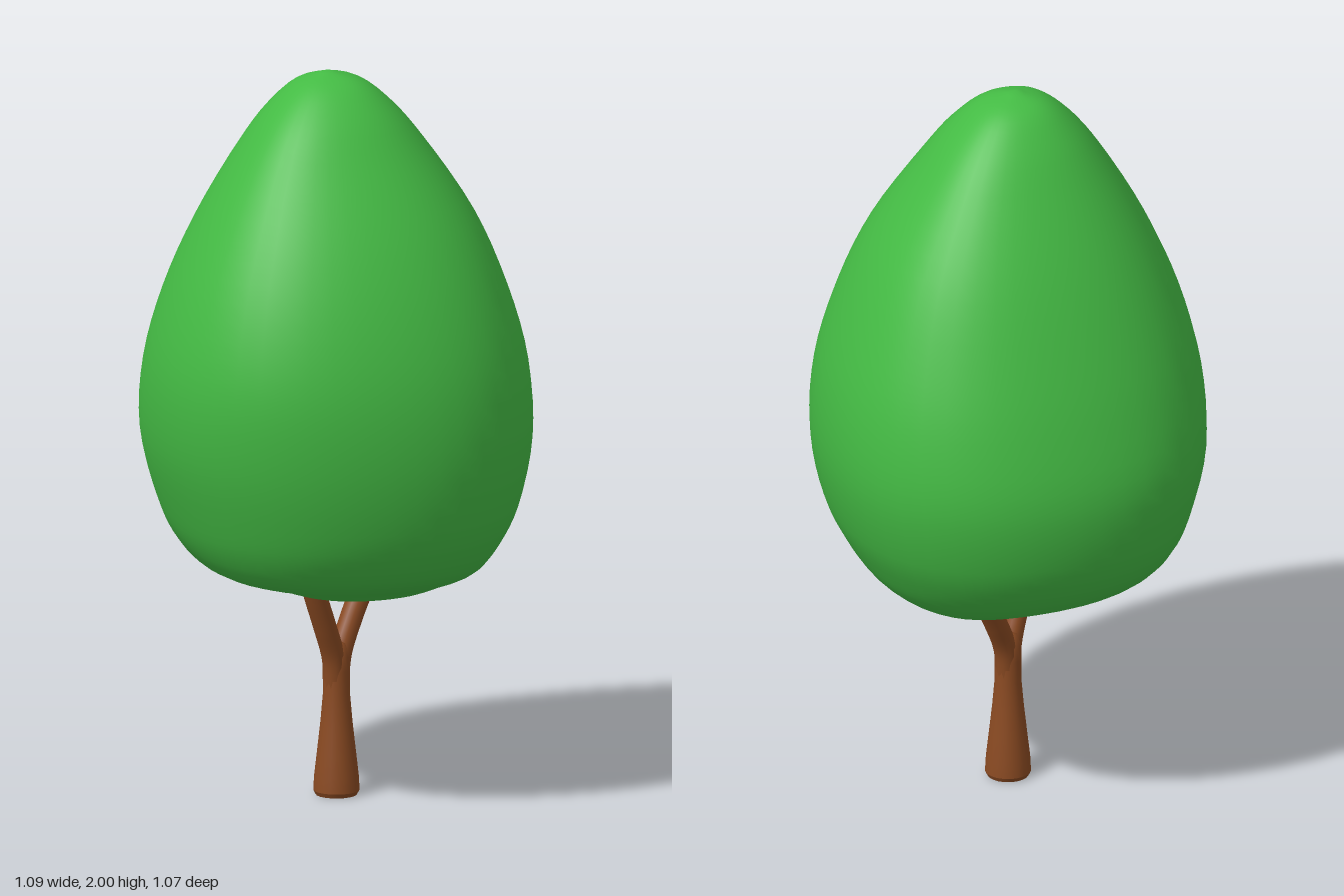
import * as THREE from 'three';
import { mergeVertices } from 'three/addons/utils/BufferGeometryUtils.js';

// Crown cross-sections, bottom to top: [y, xMin, xMax, zMin, zMax]
const RINGS = [
  [0.543, 0.04, 0.04, 0, 0],
  [0.56, -0.1, 0.24, -0.17, 0.17],
  [0.6, -0.22, 0.335, -0.285, 0.28],
  [0.65, -0.37, 0.4, -0.395, 0.4],
  [0.72, -0.43, 0.45, -0.465, 0.46],
  [0.82, -0.475, 0.5, -0.51, 0.505],
  [1.0, -0.53, 0.542, -0.535, 0.537],
  [1.2, -0.545, 0.53, -0.495, 0.528],
  [1.4, -0.505, 0.472, -0.425, 0.475],
  [1.6, -0.42, 0.382, -0.335, 0.385],
  [1.8, -0.295, 0.243, -0.222, 0.255],
  [1.9, -0.213, 0.155, -0.155, 0.18],
  [1.97, -0.125, 0.065, -0.085, 0.1],
  [2.0, -0.035, -0.035, 0.005, 0.005],
];

function crownGeometry(sides = 48, steps = 52) {
  const positions = [];
  const index = [];
  for (let i = 0; i < sides; i++) {
    const a = (i / sides) * Math.PI * 2;
    // Four soft lobes and one flatter side make the outline slightly irregular
    const flat = Math.max(0, Math.cos(a - Math.PI / 4)) ** 4;
    const lobe = 1 + 0.025 * Math.cos(4 * (a - 1.187)) - 0.025 * flat;
    const column = RINGS.map(([y, x0, x1, z0, z1]) => new THREE.Vector3(
      (x0 + x1) / 2 + ((x1 - x0) / 2) * lobe * Math.cos(a),
      y,
      (z0 + z1) / 2 + ((z1 - z0) / 2) * lobe * Math.sin(a),
    ));
    for (const p of new THREE.CatmullRomCurve3(column).getPoints(steps)) positions.push(p.x, p.y, p.z);
    const here = i * (steps + 1);
    const next = ((i + 1) % sides) * (steps + 1);
    for (let j = 0; j < steps; j++) {
      if (j < steps - 1) index.push(here + j, here + j + 1, next + j + 1);
      if (j > 0) index.push(here + j, next + j + 1, next + j);
      if (j === steps - 1) index.push(here + j, here + j + 1, next + j);
    }
  }
  let geometry = new THREE.BufferGeometry();
  geometry.setAttribute('position', new THREE.Float32BufferAttribute(positions, 3));
  geometry.setIndex(index);
  geometry = mergeVertices(geometry, 1e-5);
  geometry.computeVertexNormals();
  return geometry;
}

export function createModel() {
  const tree = new THREE.Group();
  tree.name = 'tree';
  const leafGreen = new THREE.MeshStandardMaterial({ color: 0x44bb44 });
  leafGreen.name = 'leaf green';
  const barkBrown = new THREE.MeshStandardMaterial({ color: 0x8a4a22 });
  barkBrown.name = 'bark brown';

  const add = (name, geometry, material, parent) => {
    const mesh = new THREE.Mesh(geometry, material);
    mesh.name = name;
    parent.add(mesh);
    return mesh;
  };

  add('crown', crownGeometry(), leafGreen, tree);

  // Wood stands slightly off the crown's centre
  const wood = new THREE.Group();
  wood.name = 'wood';
  wood.position.set(0.004, 0, -0.006);
  tree.add(wood);

  // Flared trunk, closing inside the fork
  const profile = [
    [0.062, 0.012], [0.06, 0.05], [0.052, 0.12], [0.043, 0.2],
    [0.036, 0.28], [0.037, 0.34], [0.036, 0.38], [0.024, 0.415], [0, 0.425],
  ].map(([r, y]) => new THREE.Vector2(r, y));
  add('trunk', new THREE.LatheGeometry(profile, 20), barkBrown, wood);
  add('trunkFoot', new THREE.CylinderGeometry(0.062, 0.056, 0.012, 20), barkBrown, wood).position.y = 0.006;

  // Two branches spreading up into the crown
  const branch = (name, points) => add(name, new THREE.TubeGeometry(
    new THREE.CatmullRomCurve3(points.map((p) => new THREE.Vector3(...p))), 20, 0.031, 12), barkBrown, wood);
  branch('leftBranch', [[0.003, 0.28, 0], [0.017, 0.38, -0.005], [0.062, 0.47, -0.016], [0.116, 0.56, -0.026], [0.16, 0.64, -0.036]]);
  branch('rightBranch', [[-0.003, 0.28, 0], [-0.016, 0.38, 0.006], [-0.052, 0.47, 0.016], [-0.09, 0.56, 0.024], [-0.12, 0.64, 0.03]]);

  return tree;
}
